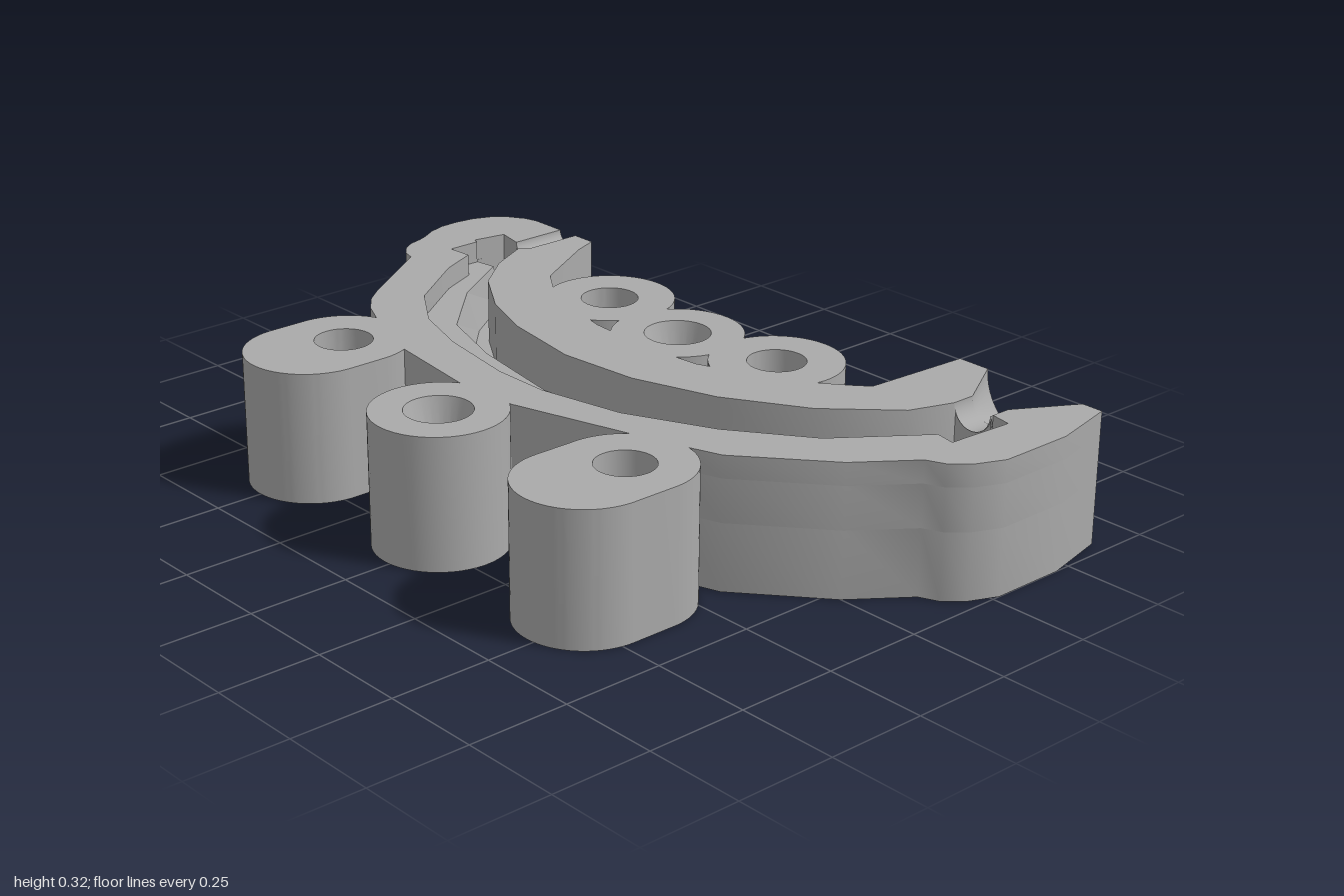
import * as THREE from 'three';
import { toCreasedNormals } from 'three/addons/utils/BufferGeometryUtils.js';

const TOP = 0.325, LEDGE = 0.27, FLOOR = 0.165; // heights of the top face, cavity ledge and cavity floor
const R = 0.16; // lug radius

// Plan outlines as [x, z]
const outerSide = [
  [0.525, -0.77], [0.525, -0.87], [0.515, -0.905], [0.49, -0.945], [0.455, -0.975], [0.41, -0.993],
  [0.36, -1], [0.31, -0.998], [0.265, -0.985], [0.225, -0.962], [0.2, -0.952], [0.165, -0.943],
  [0.135, -0.925], [0.11, -0.895], [0.1, -0.86], [-0.11, -0.72], [-0.16, -0.68], [-0.2, -0.63],
  [-0.23, -0.565], [-0.305, -0.36], [-0.34, -0.09], [-0.33, 0.07], [-0.245, 0.355], [-0.2, 0.5],
  [-0.17, 0.585], [0, 0.785], [0.135, 0.885], [0.155, 0.93], [0.2, 0.97], [0.27, 1],
  [0.46, 1], [0.63, 0.96], [0.63, 0.905],
];
const innerSide = [
  [0.63, 0.625], [0.63, 0.54], [0.355, 0.525], [0.33, 0.5], [0.277, 0.433], [0.2, 0.3], [0.145, 0.16],
  [0.13, 0], [0.14, -0.18], [0.17, -0.3], [0.23, -0.45], [0.277, -0.517], [0.46, -0.62], [0.525, -0.645], [0.525, -0.71],
];

// Cavity contours, back to front
const ledgeEdge = [
  [0.375, -0.77], [0.39, -0.84], [0.305, -0.855], [0.3, -0.84], [0.215, -0.84], [0.22, -0.775], [0.12, -0.73],
  [-0.05, -0.61], [-0.14, -0.475], [-0.19, -0.317], [-0.225, -0.1], [-0.225, 0.05], [-0.18, 0.265],
  [-0.08, 0.475], [0.055, 0.66], [0.26, 0.81], [0.25, 0.86], [0.42, 0.87], [0.43, 0.8175],
];
const slopeTop = [
  [0.3, -0.855], [0.31, -0.785], [0.135, -0.675], [-0.025, -0.515], [-0.09, -0.317], [-0.135, -0.05],
  [-0.11, 0.21], [-0.04, 0.395], [0.08, 0.6], [0.21, 0.725], [0.345, 0.82], [0.335, 0.865],
];
const slopeFoot = [
  [0.325, -0.85], [0.325, -0.775], [0.16, -0.66], [0.02, -0.515], [-0.055, -0.317], [-0.09, -0.05],
  [-0.075, 0.21], [0, 0.395], [0.11, 0.585], [0.24, 0.715], [0.39, 0.82], [0.38, 0.868],
];
const innerWall = [
  [0.375, -0.71], [0.35, -0.73], [0.24, -0.675], [0.135, -0.59], [0.045, -0.45], [-0.01, -0.3], [-0.045, -0.08],
  [-0.025, 0.13], [0.045, 0.34], [0.16, 0.53], [0.31, 0.675], [0.42, 0.7125],
];

export function createModel() {
  const group = new THREE.Group();
  const grey = new THREE.MeshStandardMaterial({ color: 0xaaaaaa, side: THREE.DoubleSide });
  grey.name = 'grey';

  const add = (name, geometry) => {
    const mesh = new THREE.Mesh(geometry, grey);
    mesh.name = name;
    group.add(mesh);
    return mesh;
  };

  // Raise a plan shape from y0 to y1
  const raise = (name, shape, y0, y1) => {
    const g = new THREE.ExtrudeGeometry(shape, { depth: y1 - y0, bevelEnabled: false, curveSegments: 24 });
    g.rotateX(-Math.PI / 2).translate(0, y0, 0);
    add(name, toCreasedNormals(g, 0.6));
  };
  const plan = pts => new THREE.Shape(pts.map(([x, z]) => new THREE.Vector2(x, -z)));

  // Curved block, in layers around the stepped cavity
  raise('base', plan([...outerSide, ...innerSide]), 0, FLOOR);
  raise('innerBlock', plan([...innerSide, ...innerWall, [0.48, 0.7125]]), FLOOR, TOP);
  raise('outerRim', plan([...outerSide, [0.48, 0.8175], ...[...ledgeEdge].reverse()]), LEDGE, TOP);
  raise('outerLedge', plan([
    ...outerSide, [0.48, 0.8175], [0.43, 0.8175], [0.42, 0.87],
    ...[...slopeTop].reverse(), [0.39, -0.84], [0.375, -0.77],
  ]), FLOOR, LEDGE);

  // Sloped step from the ledge down to the floor
  const pos = [];
  for (let i = 0; i < slopeTop.length - 1; i++) {
    const a = [slopeTop[i][0], LEDGE, slopeTop[i][1]];
    const b = [slopeTop[i + 1][0], LEDGE, slopeTop[i + 1][1]];
    const c = [slopeFoot[i][0], FLOOR, slopeFoot[i][1]];
    const d = [slopeFoot[i + 1][0], FLOOR, slopeFoot[i + 1][1]];
    pos.push(...a, ...b, ...c, ...c, ...b, ...d);
  }
  const slope = new THREE.BufferGeometry();
  slope.setAttribute('position', new THREE.Float32BufferAttribute(pos, 3));
  slope.computeVertexNormals();
  add('cavitySlope', slope);

  // Half-round trough along x, and the plate that closes the block below it
  const trough = (name, x0, x1, z, r0, r1) => {
    const g = new THREE.CylinderGeometry(r1, r0, x1 - x0, 24, 1, true, 0, Math.PI);
    add(name, g.rotateZ(-Math.PI / 2).translate((x0 + x1) / 2, TOP, z));
  };
  const plate = (name, x, z, r) => {
    const s = new THREE.Shape();
    s.moveTo(-r, 0);
    s.absarc(0, 0, r, Math.PI, Math.PI * 2, false);
    s.lineTo(r, FLOOR - TOP);
    s.lineTo(-r, FLOOR - TOP);
    add(name, new THREE.ShapeGeometry(s, 24).rotateY(Math.PI / 2).translate(x, TOP, z));
  };
  trough('funnel', 0.48, 0.63, 0.765, 0.0525, 0.14);
  trough('funnelNeck', 0.42, 0.48, 0.765, 0.0525, 0.0525);
  plate('funnelEnd', 0.63, 0.765, 0.14);
  plate('funnelNeckEnd', 0.425, 0.765, 0.0525);
  trough('vent', 0.375, 0.525, -0.74, 0.03, 0.03);
  plate('ventOuterEnd', 0.525, -0.74, 0.03);
  plate('ventInnerEnd', 0.376, -0.74, 0.03);

  // Bolt lugs with through holes: [left centre x, hole x, z]
  for (const [x0, x1, z] of [[-0.47, -0.375, -0.5], [-0.47, -0.355, 0.48], [0.285, 0.285, -0.3], [0.3, 0.3, 0.27]]) {
    const s = new THREE.Shape();
    s.absarc(x0, -z, R, Math.PI / 2, Math.PI * 1.5, false);
    s.absarc(x1, -z, R, -Math.PI / 2, Math.PI / 2, false);
    const hole = new THREE.Path();
    hole.absarc(x1, -z, 0.07, 0, Math.PI * 2, true);
    s.holes.push(hole);
    raise('boltLug', s, 0, TOP);
  }

  // Locating lugs with tapered blind sockets
  for (const x of [-0.47, 0.25]) {
    const profile = [[0, 0], [R, 0], [R, TOP], [0.08, TOP], [0.045, TOP - 0.12], [0, TOP - 0.12]];
    const g = new THREE.LatheGeometry(profile.map(p => new THREE.Vector2(...p)), 48);
    add('locatingLug', toCreasedNormals(g, 0.6)).position.set(x, 0, -0.015);
  }
  return group;
}
